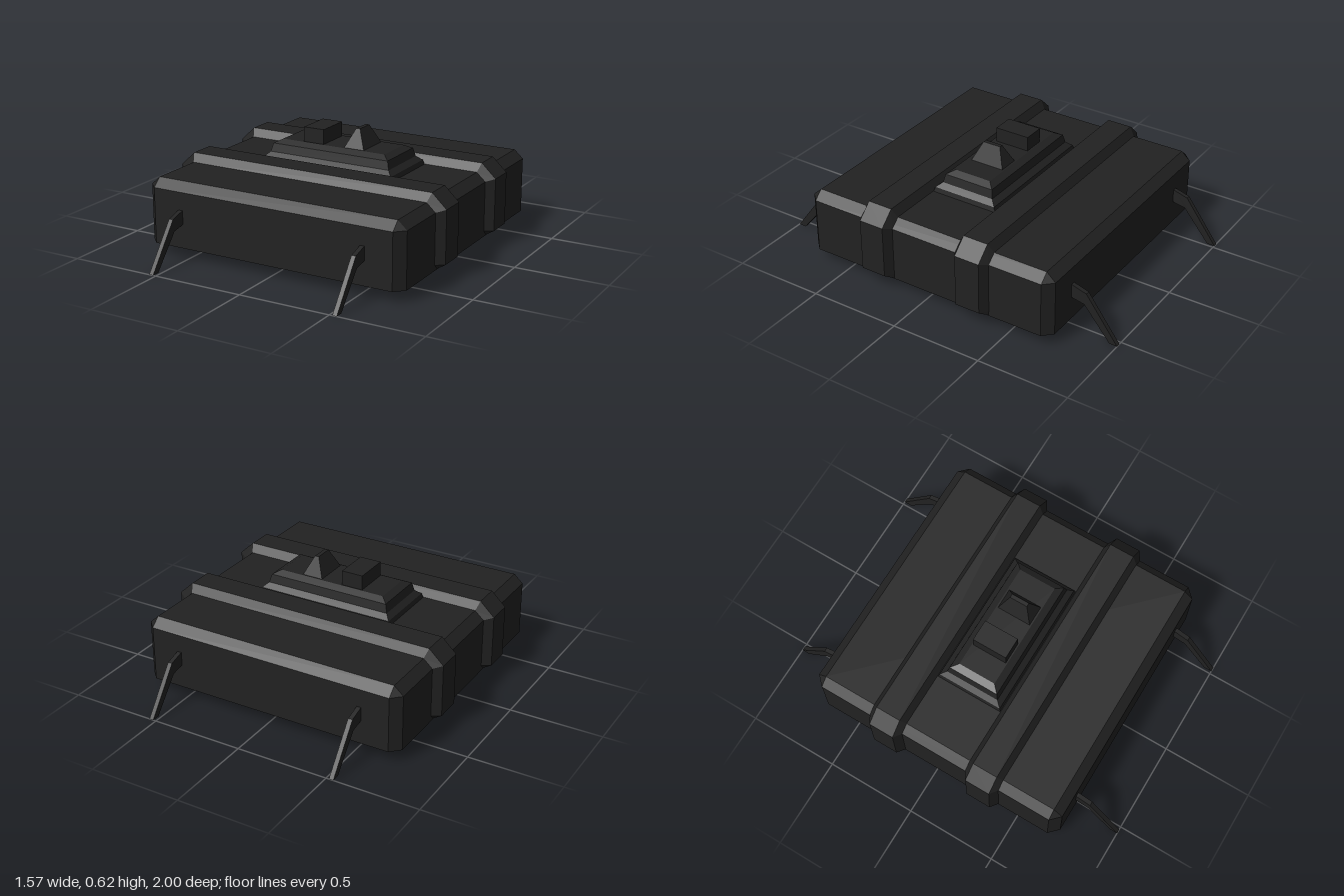
import * as THREE from 'three';

const material = new THREE.MeshStandardMaterial({ color: 0x222222, flatShading: true });

// Closed solid through rings of equal length, listed counter-clockwise about the loft direction
function loft(rings) {
  const pos = [];
  const tri = (a, b, c) => pos.push(...a, ...b, ...c);
  const n = rings[0].length;
  for (let k = 0; k < rings.length - 1; k++) {
    const a = rings[k], b = rings[k + 1];
    for (let i = 0; i < n; i++) {
      const j = (i + 1) % n;
      tri(a[i], a[j], b[j]);
      tri(a[i], b[j], b[i]);
    }
  }
  const first = rings[0], last = rings[rings.length - 1];
  for (let i = 1; i < n - 1; i++) {
    tri(first[0], first[i + 1], first[i]);
    tri(last[0], last[i], last[i + 1]);
  }
  const g = new THREE.BufferGeometry();
  g.setAttribute('position', new THREE.Float32BufferAttribute(pos, 3));
  g.computeVertexNormals();
  return g;
}

// Horizontal rectangle centred on x = cx
const rect = (x, z, y, cx = 0) => [[cx + x, y, z], [cx + x, y, -z], [cx - x, y, -z], [cx - x, y, z]];

// Horizontal rectangle with cut corners
const octagon = (x, z, y, c) => [
  [x - c, y, z], [x, y, z - c], [x, y, c - z], [x - c, y, -z],
  [c - x, y, -z], [-x, y, c - z], [-x, y, z - c], [c - x, y, z],
];

// Mirror a half outline (bottom to top) to a full cross-section at depth z
const section = (half, z) => [
  ...half.map(([x, y]) => [x, y, z]),
  ...half.slice().reverse().map(([x, y]) => [-x, y, z]),
];

export function createModel() {
  const model = new THREE.Group();
  const add = (name, geometry) => {
    const mesh = new THREE.Mesh(geometry, material);
    mesh.name = name;
    model.add(mesh);
    return mesh;
  };

  // Main body: cut corners and a chamfered top edge
  add('body', loft([
    octagon(0.74, 0.737, 0.06, 0.05),
    octagon(0.74, 0.737, 0.36, 0.05),
    octagon(0.69, 0.687, 0.405, 0),
  ]));

  // Two raised bands wrapped over the body
  const low = [[0.735, 0.06], [0.738, 0.09], [0.738, 0.36], [0.69, 0.403]];
  const high = [[0.735, 0.06], [0.785, 0.09], [0.785, 0.375], [0.705, 0.45]];
  for (const s of [1, -1]) {
    add(s > 0 ? 'frontBand' : 'backBand', loft([
      section(low, -0.1), section(high, -0.07), section(high, 0.07), section(low, 0.1),
    ])).position.z = 0.29 * s;
  }

  // Stepped platform between the bands
  add('platform', loft([
    rect(0.39, 0.19, 0.4), rect(0.382, 0.182, 0.43), rect(0.355, 0.152, 0.455),
    rect(0.343, 0.142, 0.5), rect(0.305, 0.105, 0.52),
  ]));

  // Block and tapered sight on the platform
  const block = add('topBlock', new THREE.BoxGeometry(0.12, 0.09, 0.195));
  block.position.set(-0.12, 0.555, 0);
  add('topSight', loft([rect(0.06, 0.098, 0.515, 0.12), rect(0.011, 0.05, 0.62, 0.12)]));

  // Four bent legs, flat plates reaching down to the ground
  const outline = new THREE.Shape([
    [0.72, 0.267], [0.745, 0.262], [0.82, 0.24], [1, 0], [0.957, 0], [0.81, 0.175], [0.72, 0.193],
  ].map(([z, y]) => new THREE.Vector2(z, y)));
  const legGeometry = new THREE.ExtrudeGeometry(outline, { depth: 0.024, bevelEnabled: false });
  legGeometry.translate(0, 0, -0.012);
  for (const front of [true, false]) {
    for (const x of [0.528, -0.528]) {
      const leg = add((front ? 'front' : 'back') + (x > 0 ? 'Left' : 'Right') + 'Leg', legGeometry);
      leg.position.x = x;
      leg.rotation.y = front ? -Math.PI / 2 : Math.PI / 2;
    }
  }
  return model;
}
